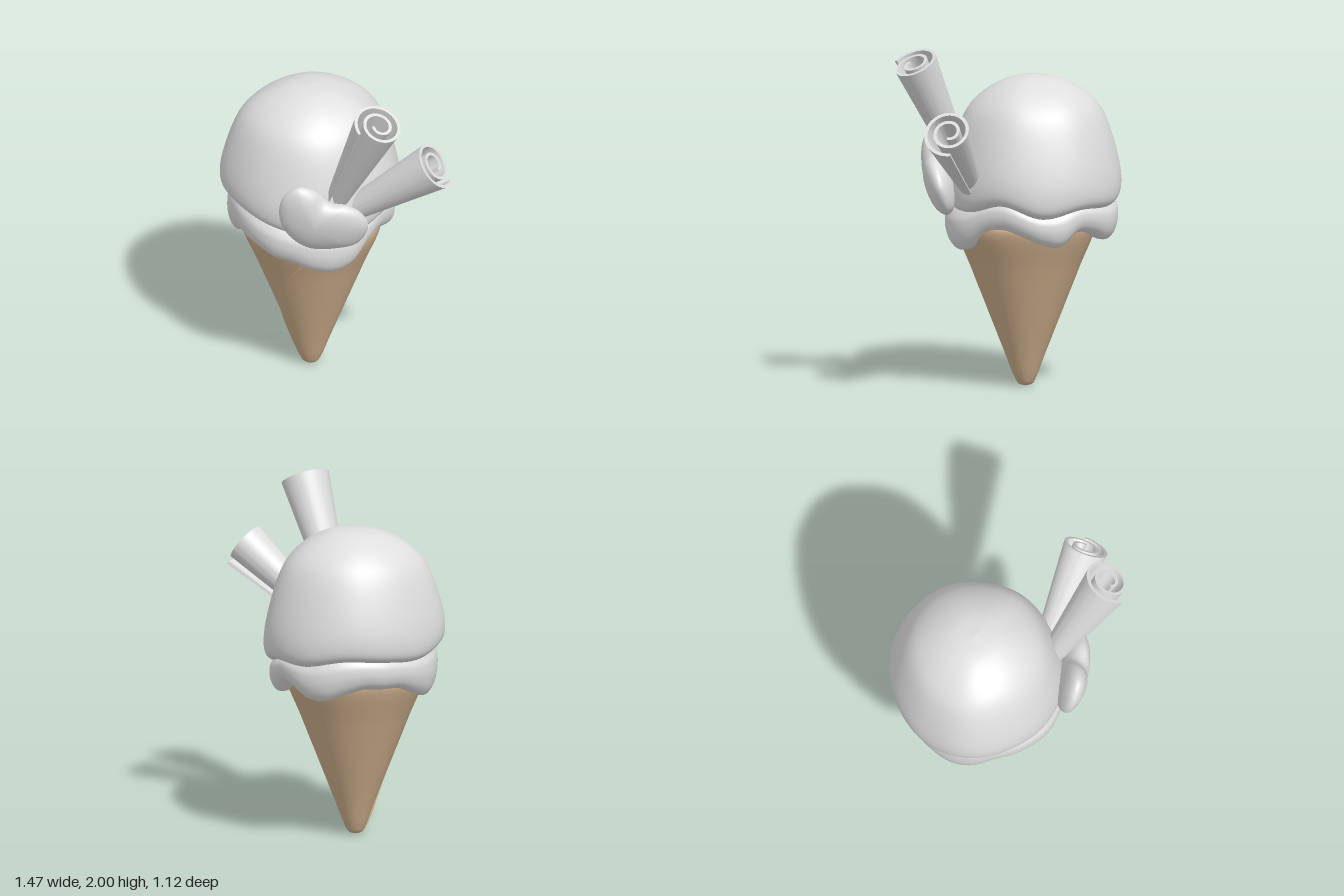
import * as THREE from 'three';
import { toCreasedNormals } from 'three/addons/utils/BufferGeometryUtils.js';

const { lerp } = THREE.MathUtils;
const TAU = Math.PI * 2;

// Smooth periodic interpolation of values spread evenly round the circle
function around(values, angle) {
  const n = values.length;
  const f = ((angle / TAU) % 1 + 1) % 1 * n;
  const i = Math.floor(f), t = f - i;
  const [a, b, c, d] = [-1, 0, 1, 2].map((k) => values[(i + k + n) % n]);
  return b + 0.5 * t * (c - a + t * (2 * a - 5 * b + 4 * c - d + t * (3 * (b - c) + d - a)));
}

// Closed rings of points joined from the first row to the last
function rings(rows, cols, point) {
  const pos = [], index = [];
  for (let i = 0; i <= rows; i++) {
    for (let j = 0; j < cols; j++) {
      pos.push(...point(i / rows, j / cols, j));
      if (i === rows) continue;
      const a = i * cols + j, b = i * cols + (j + 1) % cols;
      index.push(a, b, a + cols, b, b + cols, a + cols);
    }
  }
  const geo = new THREE.BufferGeometry();
  geo.setAttribute('position', new THREE.Float32BufferAttribute(pos, 3));
  geo.setIndex(index);
  geo.computeVertexNormals();
  return geo;
}

const curve = (pts, closed = false) => new THREE.CatmullRomCurve3(
  pts.map(([x, y]) => new THREE.Vector3(x, y, 0)), closed);

// Wavy lower edges; angle 0 is +x, a quarter turn is +z
const scoopRim = [1.10, 1.04, 1.05, 1.085, 1.13, 1.14, 1.09, 1.10, 1.11, 1.07, 1.075, 1.03];
const scoopBulge = [1, 0.99, 1, 1, 1.01, 1.045, 1, 0.965, 0.97, 1, 1.01, 1];
const skirtRim = [0.95, 0.92, 0.835, 0.81, 0.83, 0.87, 0.885, 0.915, 0.93, 0.93, 0.865, 0.85,
  0.89, 0.93, 0.935, 0.94, 0.91, 0.87, 0.875, 0.92, 0.935, 0.86, 0.875, 0.92];

function scoopGeometry() {
  const profile = curve([[0, 1], [0.3, 0.968], [0.59, 0.86], [0.78, 0.715], [0.93, 0.43],
    [1, 0.17], [0.98, 0.05], [0.9, 0], [0.78, 0.015], [0.62, 0.08]]);
  return rings(56, 96, (u, v) => {
    const p = profile.getPoint(u), a = v * TAU;
    const r = p.x * 0.507 * around(scoopBulge, a);
    return [-0.23 + r * Math.cos(a), lerp(around(scoopRim, a), 1.805, p.y), -0.05 + r * Math.sin(a)];
  });
}

function skirtGeometry() {
  const profile = curve([[0.7, -0.15], [0.88, -0.05], [0.98, 0.2], [1, 0.42], [0.99, 0.65],
    [0.95, 0.86], [0.88, 0.99], [0.79, 0.97], [0.7, 0.82]]);
  return rings(40, 144, (u, v) => {
    const p = profile.getPoint(u), a = v * TAU;
    const bottom = around(skirtRim, a), top = around(scoopRim, a) + 0.02;
    const swell = p.x * (1 + (0.9 - bottom) * 0.5);
    return [-0.23 + 0.465 * swell * Math.cos(a), lerp(top, bottom, p.y),
      -0.035 + 0.49 * swell * Math.sin(a)];
  });
}

// Rolled cone: the radius grows slightly round the turn and steps at a curved seam
function coneGeometry() {
  const cols = 97;
  const profile = curve([[0.25, 1.0], [0.39, 0.965], [0.4, 0.93], [0.312, 0.7], [0.215, 0.45],
    [0.118, 0.2], [0.062, 0.055], [0.04, 0.018], [0, 0.004]]);
  return toCreasedNormals(rings(60, cols, (u, v, j) => {
    const p = profile.getPoint(u), t = j / (cols - 1);
    const seam = (145 - 85 * Math.pow(Math.max(p.y, 0) / 0.9, 1.5)) * Math.PI / 180;
    const a = seam + t * TAU;
    const r = Math.max(p.x, 0) + 0.012 * (t - 0.5) * Math.min(Math.max(p.x, 0) / 0.1, 1);
    return [-0.215 + r * Math.cos(a), p.y, r * Math.sin(a)];
  }), 0.7);
}

// Plump two-lobed bean leaning on the scoop
function beanGeometry() {
  const outline = curve([[-0.02, 1.455], [0.06, 1.42], [0.12, 1.345], [0.22, 1.325], [0.29, 1.27],
    [0.315, 1.18], [0.25, 1.06], [0.14, 1.018], [0.01, 1.01], [-0.08, 1.07], [-0.14, 1.2],
    [-0.11, 1.38]], true);
  const cx = 0.07, cy = 1.2;
  return rings(36, 72, (u, v) => {
    const p = outline.getPoint(v), t = (0.5 - u) * Math.PI;
    const x = lerp(cx, p.x, Math.cos(t)), y = lerp(cy, p.y, Math.cos(t));
    return [x, y, 0.415 - 0.42 * (x - cx) + 0.24 * (y - cy) + 0.095 * Math.sin(t)];
  });
}

// Tapered wafer roll with a spiral section, from base to tip
function wafer(name, base, tip, baseRadius, tipRadius, startAngle, material) {
  const from = new THREE.Vector3(...base), to = new THREE.Vector3(...tip);
  const outer = [], inner = [], steps = 90, turns = 2.05;
  for (let i = 0; i <= steps; i++) {
    const t = i / steps, a = startAngle - t * turns * TAU;
    const r = lerp(1.07, 0.33, t);
    outer.push(new THREE.Vector2(r * Math.cos(a), r * Math.sin(a)));
    inner.unshift(new THREE.Vector2((r - 0.13) * Math.cos(a), (r - 0.13) * Math.sin(a)));
  }
  const geo = new THREE.ExtrudeGeometry(new THREE.Shape([...outer, ...inner]),
    { depth: from.distanceTo(to), bevelEnabled: false, steps: 1 });
  const pos = geo.attributes.position;
  for (let i = 0; i < pos.count; i++) {
    const s = lerp(baseRadius, tipRadius, pos.getZ(i) / from.distanceTo(to));
    pos.setXY(i, pos.getX(i) * s, pos.getY(i) * s);
  }
  const mesh = new THREE.Mesh(toCreasedNormals(geo, 0.8), material);
  mesh.name = name;
  mesh.position.copy(from);
  mesh.lookAt(to);
  return mesh;
}

export function createModel() {
  const cream = new THREE.MeshStandardMaterial({ color: 0xdedede });
  cream.name = 'pale cream';
  const biscuit = new THREE.MeshStandardMaterial({ color: 0xceaf8c });
  biscuit.name = 'biscuit brown';

  const model = new THREE.Group();
  model.name = 'iceCreamCone';
  const add = (name, geometry, material) => {
    const mesh = new THREE.Mesh(geometry, material);
    mesh.name = name;
    model.add(mesh);
  };

  add('cone', coneGeometry(), biscuit);
  add('meltedSkirt', skirtGeometry(), cream);
  add('scoop', scoopGeometry(), cream);
  add('bean', beanGeometry(), cream);

  model.add(
    wafer('tallWaferRoll', [0.065, 1.22, 0.245], [0.445, 1.927, 0.405], 0.06, 0.147, Math.PI, cream),
    wafer('shortWaferRoll', [0.18, 1.22, 0.165], [0.637, 1.575, 0.095], 0.077, 0.147, -1.35, cream),
  );
  return model;
}
